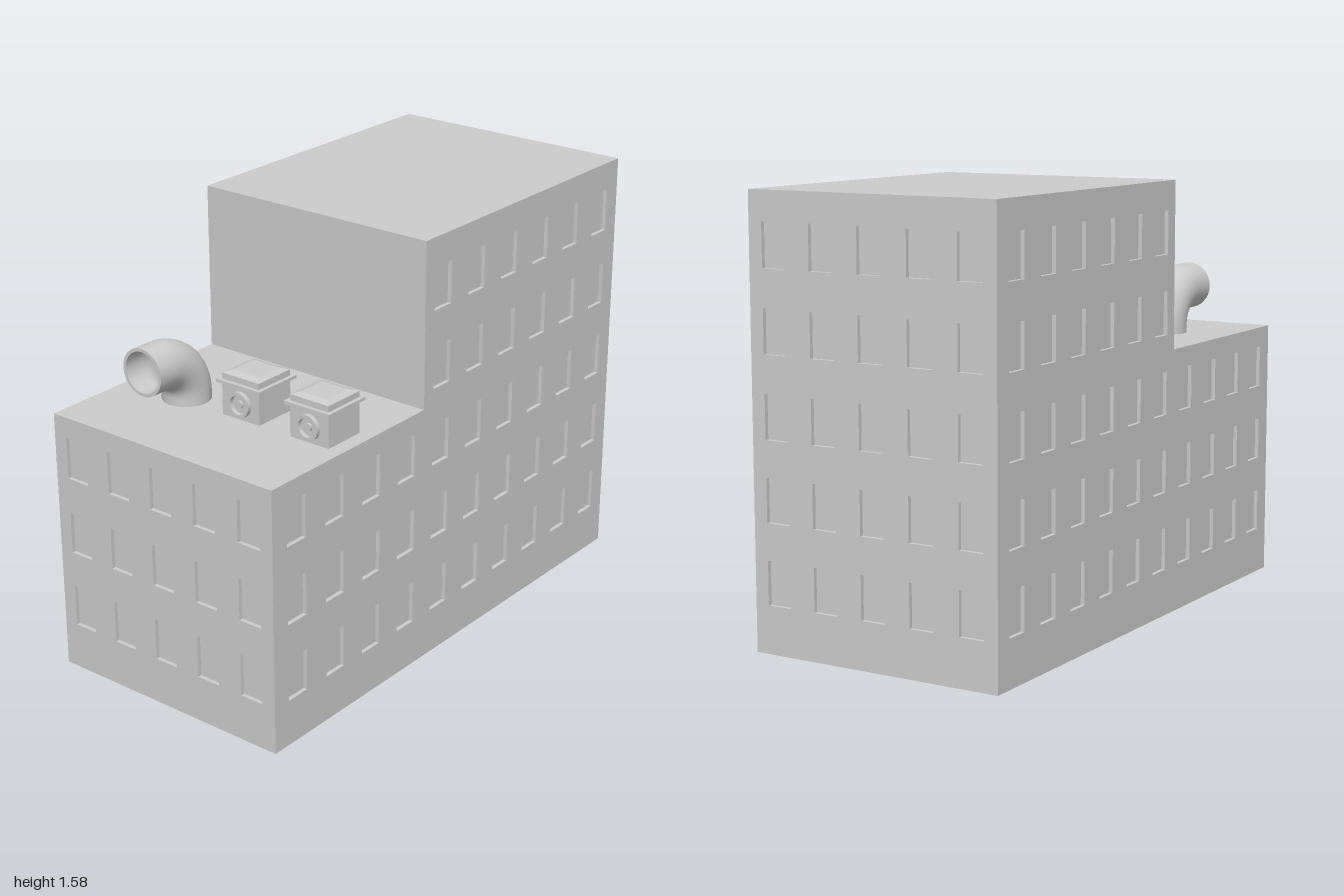
import * as THREE from 'three';

const grey = new THREE.MeshStandardMaterial({ color: 0xcccccc });
const flat = new THREE.MeshStandardMaterial({ color: 0xcccccc, flatShading: true });
const HX = 1, HZ = 0.485, LOW = 0.972, HIGH = 1.58, STEP = -0.195, RECESS = 0.015;
const rows = [0.249, 0.535, 0.82, 1.109, 1.397];

function add(parent, name, geometry, material = grey, x = 0, y = 0, z = 0) {
  const mesh = new THREE.Mesh(geometry, material);
  mesh.name = name;
  mesh.position.set(x, y, z);
  parent.add(mesh);
  return mesh;
}

function polygon(points) {
  return new THREE.Shape(points.map(([x, y]) => new THREE.Vector2(x, y)));
}

function rect(x, y, w, h) {
  return [[x - w / 2, y - h / 2], [x + w / 2, y - h / 2], [x + w / 2, y + h / 2], [x - w / 2, y + h / 2]];
}

// Stepped outline of the low and high blocks
function steppedOutline(hx) {
  return [[-hx, 0], [hx, 0], [hx, HIGH], [STEP, HIGH], [STEP, LOW], [-hx, LOW]];
}

// Thin wall skin pierced by window openings
function facade(outline, columns, isWindow) {
  const shape = polygon(outline);
  rows.forEach((y, row) => columns.forEach((x) => {
    if (isWindow(x, row)) shape.holes.push(polygon(rect(x, y, 0.094, 0.156).reverse()));
  }));
  return new THREE.ExtrudeGeometry(shape, { depth: RECESS, bevelEnabled: false });
}

function building() {
  const group = new THREE.Group();
  group.name = 'building';

  // Core whose faces form the recessed window panes
  const coreDepth = 2 * (HZ - RECESS);
  const core = new THREE.ExtrudeGeometry(polygon(steppedOutline(HX - RECESS)), { depth: coreDepth, bevelEnabled: false });
  add(group, 'core', core, grey, 0, 0, -coreDepth / 2);

  // Front and back walls
  const longColumns = Array.from({ length: 10 }, (_, i) => -0.88 + i * 0.196);
  const longWall = facade(steppedOutline(HX), longColumns, (x, row) => row < 3 || x > STEP);
  add(group, 'frontWall', longWall, grey, 0, 0, HZ - RECESS);
  add(group, 'backWall', longWall, grey, 0, 0, -HZ);

  // Side walls
  const sideColumns = [-2, -1, 0, 1, 2].map((i) => i * 0.1925);
  const tall = facade(rect(0, HIGH / 2, coreDepth, HIGH), sideColumns, () => true);
  const short = facade(rect(0, LOW / 2, coreDepth, LOW), sideColumns, (x, row) => row < 3);
  add(group, 'leftWall', tall, grey, HX - RECESS).rotation.y = Math.PI / 2;
  add(group, 'rightWall', short, grey, -HX + RECESS).rotation.y = -Math.PI / 2;
  return group;
}

// Square roof fan unit with flange, lid and round outlet
function roofVent(z) {
  const group = new THREE.Group();
  group.name = 'roofVent';
  group.position.set(-0.564, LOW, z);
  add(group, 'ventBody', new THREE.BoxGeometry(0.163, 0.12, 0.163), grey, 0, 0.06);
  add(group, 'ventFlange', new THREE.BoxGeometry(0.193, 0.011, 0.193), grey, 0, 0.1255);
  add(group, 'ventLid', new THREE.BoxGeometry(0.163, 0.022, 0.163), grey, 0, 0.142);
  const slope = new THREE.CylinderGeometry(0.11 / Math.SQRT2, 0.163 / Math.SQRT2, 0.008, 4);
  add(group, 'ventLidTop', slope.rotateY(Math.PI / 4), flat, 0, 0.157);

  // Outlet ring and hub on the -x side
  const ringProfile = [[0.034, 0], [0.034, 0.016], [0.046, 0.016], [0.046, 0]].map(([x, y]) => new THREE.Vector2(x, y));
  const ringMaterial = new THREE.MeshStandardMaterial({ color: 0xcccccc, side: THREE.DoubleSide, flatShading: true });
  add(group, 'outletRing', new THREE.LatheGeometry(ringProfile, 32), ringMaterial, -0.0815, 0.058).rotation.z = Math.PI / 2;
  add(group, 'outletHub', new THREE.CylinderGeometry(0.014, 0.014, 0.012, 20), grey, -0.0865, 0.058).rotation.z = Math.PI / 2;
  return group;
}

// Bent duct rising from the roof and opening toward -x
function duct() {
  const group = new THREE.Group();
  group.name = 'duct';
  group.position.z = -0.225;
  const R = 0.087, inner = 0.075, bend = 0.135, cx = -0.75, cy = 0.998;
  const points = [new THREE.Vector3(cx + bend, LOW, 0)];
  for (let i = 0; i <= 12; i++) {
    const a = (i / 12) * Math.PI / 2;
    points.push(new THREE.Vector3(cx + bend * Math.cos(a), cy + bend * Math.sin(a), 0));
  }
  points.push(new THREE.Vector3(-0.83, cy + bend, 0));
  const path = new THREE.CurvePath();
  for (let i = 1; i < points.length; i++) path.add(new THREE.LineCurve3(points[i - 1], points[i]));
  const smooth = new THREE.CatmullRomCurve3(path.getSpacedPoints(20));
  const inside = new THREE.MeshStandardMaterial({ color: 0xcccccc, side: THREE.BackSide });
  add(group, 'ductOuter', new THREE.TubeGeometry(smooth, 32, R, 32));
  add(group, 'ductInner', new THREE.TubeGeometry(smooth, 32, inner, 32), inside);
  add(group, 'ductRim', new THREE.RingGeometry(inner, R, 32), grey, -0.83, cy + bend).rotation.y = -Math.PI / 2;
  return group;
}

export function createModel() {
  const model = new THREE.Group();
  model.name = 'officeBuilding';
  model.add(building(), duct(), roofVent(0.05), roofVent(0.348));
  return model;
}
